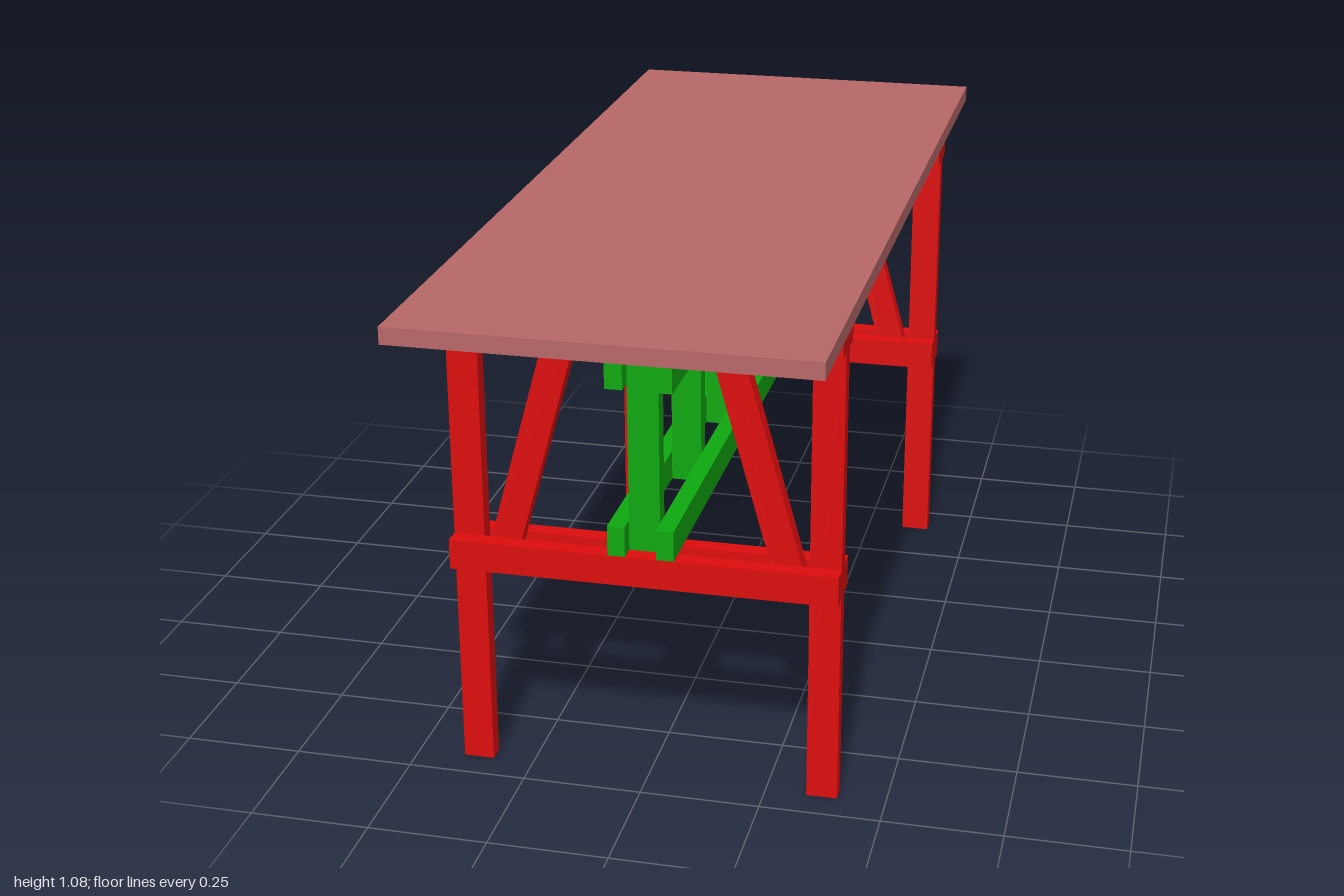
import * as THREE from 'three';

const RED = new THREE.MeshStandardMaterial({ color: 0xdd0d0d });
const GREEN = new THREE.MeshStandardMaterial({ color: 0x0fa80f });
const TOP = new THREE.MeshStandardMaterial({ color: 0xb86868 });

const T = 0.036;            // plank thickness
const W = 0.064;            // plank width
const END_Z = 0.667;        // position of each trestle
const TOP_Y = 1.042;        // underside of the table top
const LOW_Y = 0.456;        // underside of the lower trestle rails

// Plank between two heights; leanX / leanZ shift its top sideways, ends stay level.
function plank(parent, name, material, [w, d], [y0, y1], [x, z], leanX = 0, leanZ = 0) {
  const h = y1 - y0;
  const geometry = new THREE.BoxGeometry(w, h, d);
  const p = geometry.attributes.position;
  for (let i = 0; i < p.count; i++) {
    const t = p.getY(i) / h + 0.5;
    p.setX(i, p.getX(i) + leanX * t);
    p.setZ(i, p.getZ(i) + leanZ * t);
  }
  geometry.computeVertexNormals();
  const mesh = new THREE.Mesh(geometry, material);
  mesh.name = name;
  mesh.position.set(x, (y0 + y1) / 2, z);
  parent.add(mesh);
}

// End frame: two legs, two slanted braces, paired rails clamped on both faces
function makeTrestle(name, z) {
  const trestle = new THREE.Group();
  trestle.name = name;
  trestle.position.z = z;
  for (const s of [-1, 1]) {
    plank(trestle, 'leg', RED, [W, T], [0, TOP_Y], [s * 0.368, 0]);
    plank(trestle, 'legBrace', RED, [W, T], [LOW_Y, TOP_Y], [s * 0.306, 0], -s * 0.162);
    plank(trestle, 'upperRail', RED, [0.8, T], [0.978, TOP_Y], [0, s * T]);
    plank(trestle, 'lowerRail', RED, [0.8, T], [LOW_Y, 0.52], [0, s * T]);
  }
  return trestle;
}

// Central lengthwise truss: paired stringers holding posts and one diagonal
function makeTruss() {
  const truss = new THREE.Group();
  truss.name = 'centralTruss';
  for (const s of [-1, 1]) {
    plank(truss, 'lowerStringer', GREEN, [T, 1.44], [0.52, 0.584], [s * 0.05, 0]);
    plank(truss, 'upperStringer', GREEN, [T, 1.44], [0.877, 0.941], [s * 0.05, 0]);
    plank(truss, 'endPost', GREEN, [W, T], [LOW_Y, TOP_Y], [0, s * END_Z]);
  }
  for (const z of [0.305, -0.02, -0.345]) {
    plank(truss, 'middlePost', GREEN, [W, T], [0.52, 0.941], [0, z]);
  }
  plank(truss, 'diagonalBrace', GREEN, [W, 0.042], [0.52, 0.941], [0, -0.654], 0, 0.283);
  return truss;
}

export function createModel() {
  const table = new THREE.Group();
  table.name = 'trestleTable';
  plank(table, 'tableTop', TOP, [0.83, 2], [TOP_Y, 1.077], [0, 0]);
  table.add(makeTrestle('frontTrestle', END_Z), makeTrestle('backTrestle', -END_Z), makeTruss());
  return table;
}
